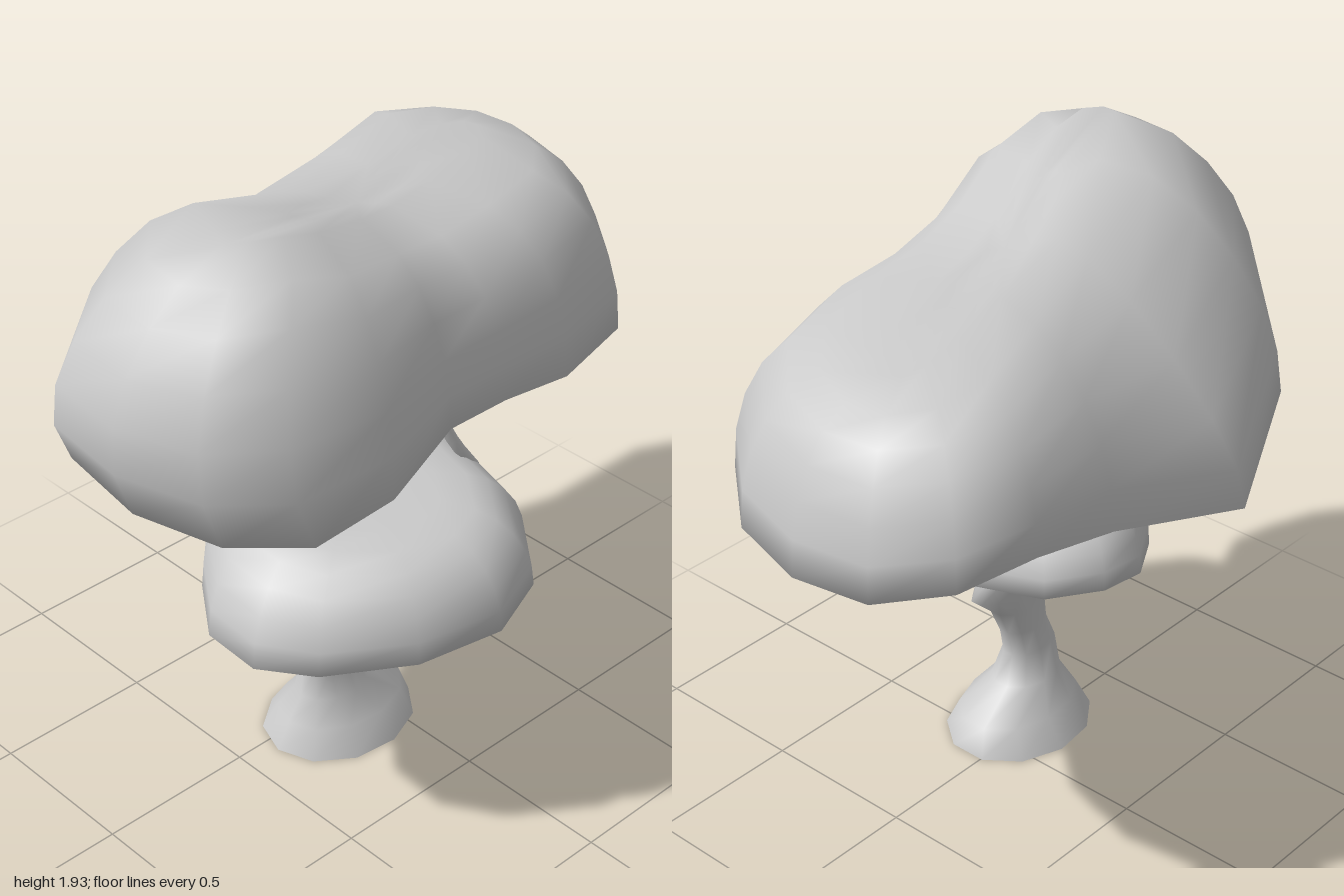
import * as THREE from 'three';
import { mergeVertices } from 'three/addons/utils/BufferGeometryUtils.js';

const material = new THREE.MeshStandardMaterial({ color: 0xcccccc });
const mix = THREE.MathUtils.lerp;

// Height read from a short list of [position, height] pairs
function along(pairs, t) {
  for (let i = 1; i < pairs.length; i++) {
    const [a, ya] = pairs[i - 1], [b, yb] = pairs[i];
    if (t <= b) return mix(ya, yb, Math.max(0, (t - a) / (b - a)));
  }
  return pairs[pairs.length - 1][1];
}

// Smooth skin through closed rings of equal length
function loft(rings) {
  const n = rings[0].length, index = [];
  for (let k = 0; k < rings.length - 1; k++) {
    for (let i = 0; i < n; i++) {
      const a = k * n + i, b = k * n + (i + 1) % n;
      index.push(a, b, b + n, a, b + n, a + n);
    }
  }
  let geometry = new THREE.BufferGeometry();
  geometry.setAttribute('position', new THREE.Float32BufferAttribute(rings.flat(2), 3));
  geometry.setIndex(index);
  geometry = mergeVertices(geometry);
  geometry.computeVertexNormals();
  return geometry;
}

function part(name, geometry) {
  const mesh = new THREE.Mesh(geometry, material);
  mesh.name = name;
  return mesh;
}

// Foliage cap: shallow underside, uneven rim, rounded dome.
// Rim points are [x, y, z, slope]; a higher slope gives a flatter, more slanted side.
function canopy(name, { rim, core, crown, centre, floor, fullness, bulge = 0 }) {
  const [mx, mz] = centre;
  const rings = [0, 0.45, 0.75, 0.93, 1].map((s) =>
    rim.map((p) => floor.map((f, axis) => mix(f, p[axis], s))));
  const steps = 6;
  for (let k = 1; k <= steps; k++) {
    const a = (k / steps) * Math.PI / 2, rise = Math.sin(a);
    rings.push(rim.map(([x, y, z, slope = fullness]) => {
      const [cx, cz] = core(x, z);
      const s = Math.max(0, Math.cos(a)) ** slope;
      const px = mix(cx, x, s), pz = mix(cz, z, s);
      const push = z > 0.65 ? bulge * 4 * rise * (1 - rise) : 0;
      return [px, mix(y, crown(px, pz), rise), pz + push];
    }));
  }
  for (const s of [0.5, 0]) {
    rings.push(rim.map(([x, , z]) => {
      const [cx, cz] = core(x, z);
      const px = mix(mx, cx, s), pz = mix(mz, cz, s);
      return [px, crown(px, pz), pz];
    }));
  }
  return part(name, loft(rings));
}

// Crooked trunk from stacked ellipses: y, x range, z range
function trunk() {
  const levels = [
    [0, -0.16, 0.27, -0.125, 0.39], [0.09, -0.10, 0.22, -0.09, 0.35],
    [0.17, -0.03, 0.16, 0.05, 0.30], [0.27, 0, 0.13, 0.085, 0.29],
    [0.36, 0.005, 0.13, 0.07, 0.25], [0.45, 0, 0.14, 0.03, 0.24],
    [0.53, 0, 0.14, -0.06, 0.245], [0.61, -0.01, 0.145, -0.02, 0.31],
    [0.68, -0.01, 0.15, 0.03, 0.37], [0.76, -0.01, 0.15, 0.05, 0.39],
  ];
  const sides = 11;
  const rings = levels.map(([y, x0, x1, z0, z1]) => Array.from({ length: sides }, (_, i) => {
    const a = (i / sides) * Math.PI * 2;
    return [(x0 + x1) / 2 + Math.sin(a) * (x1 - x0) / 2, y, (z0 + z1) / 2 + Math.cos(a) * (z1 - z0) / 2];
  }));
  const group = new THREE.Group();
  group.name = 'trunk';
  const base = rings[0].map(() => [0.055, 0, 0.14]);
  group.add(part('trunkBody', loft(rings)), part('trunkBase', loft([base, rings[0]])));
  return group;
}

function branch(name, points, radius) {
  const curve = new THREE.CatmullRomCurve3(points.map((p) => new THREE.Vector3(...p)));
  return part(name, new THREE.TubeGeometry(curve, 8, radius, 6));
}

export function createModel() {
  const model = new THREE.Group();
  model.name = 'tree';
  model.add(trunk());

  // Lower foliage layer
  model.add(canopy('lowerCanopy', {
    rim: [
      [0.16, 0.69, 0.73, 1], [0.36, 0.69, 0.74, 1], [0.53, 0.71, 0.65, 0.9], [0.69, 0.72, 0.42], [0.755, 0.735, 0.16],
      [0.69, 0.76, -0.04], [0.5, 0.77, -0.2], [0.2, 0.78, -0.28], [-0.08, 0.79, -0.29], [-0.33, 0.8, -0.2],
      [-0.44, 0.81, -0.06], [-0.46, 0.81, 0.08], [-0.35, 0.78, 0.26], [-0.18, 0.74, 0.44], [-0.01, 0.71, 0.61, 0.9],
    ],
    core: (x, z) => [0.13 + (x - 0.13) * 0.55, 0.2 + (z - 0.2) * 0.45],
    crown: (x) => 1.01 - 0.04 * x,
    centre: [0.13, 0.2],
    floor: [0.13, 0.7, 0.2],
    fullness: 0.75,
  }));

  // Small tilted middle layer tucked under the top
  model.add(canopy('middleCanopy', {
    rim: [
      [-0.03, 1.18, 0.48], [0.12, 1.13, 0.53], [0.25, 1.11, 0.46], [0.31, 1.14, 0.3], [0.32, 1.2, 0.1],
      [0.29, 1.19, -0.1], [0.18, 1.12, -0.27], [0, 1.1, -0.3], [-0.15, 1.04, -0.2], [-0.24, 1.03, -0.05],
      [-0.27, 1.05, 0.1], [-0.2, 1.13, 0.3],
    ],
    core: (x, z) => [0.03 + (x - 0.03) * 0.4, 0.1 + (z - 0.1) * 0.4],
    crown: () => 1.32,
    centre: [0.03, 0.1],
    floor: [0.03, 1.21, 0.1],
    fullness: 0.7,
  }));

  // Large top layer: a ridge highest toward the front, its front half falling off to both sides
  const ridge = [[-1, 1.63], [-0.8, 1.67], [-0.5, 1.71], [0, 1.74], [0.3, 1.84], [0.5, 1.91], [0.62, 1.93], [0.75, 1.88], [0.95, 1.78]];
  model.add(canopy('upperCanopy', {
    rim: [
      [0.13, 1.2, 0.95], [0.4, 1.19, 0.87], [0.58, 1.2, 0.7], [0.645, 1.28, 0.48], [0.53, 1.3, 0.15],
      [0.5, 1.27, -0.1], [0.48, 1.22, -0.38], [0.38, 1.2, -0.72], [0.14, 1.19, -0.92], [-0.14, 1.19, -1],
      [-0.4, 1.21, -0.98], [-0.6, 1.27, -0.86], [-0.69, 1.32, -0.65], [-0.66, 1.22, -0.3, 0.9],
      [-0.76, 1.12, 0.16, 1.4], [-0.55, 1.23, 0.61, 0.95], [-0.17, 1.22, 0.92],
    ],
    core: (x, z) => [0.2 * z + 0.18 * (x - 0.2 * z), z * 0.68],
    crown: (x, z) => along(ridge, z) - 0.45 * (x - 0.2 * z) ** 2 * THREE.MathUtils.smoothstep(z, -0.5, 0.3),
    centre: [0, 0],
    floor: [-0.25, 1.2, 0],
    fullness: 0.65,
    bulge: 0.08,
  }));

  // Thin branches joining the layers
  const twigs = [
    [[-0.02, 0.97, 0.2], [-0.09, 1.0, 0.28], [-0.1, 1.06, 0.33], [-0.05, 1.22, 0.38]],
    [[0.05, 0.97, 0.2], [0.05, 1.05, 0.21], [0.03, 1.24, 0.18]],
    [[0.2, 0.97, 0.06], [0.19, 1.08, 0.07], [0.16, 1.24, 0.11]],
    [[0.26, 0.97, 0.2], [0.24, 1.07, 0.22], [0.21, 1.24, 0.19]],
    [[0.31, 0.92, -0.18], [0.29, 1.03, -0.11], [0.25, 1.24, -0.02]],
  ];
  twigs.forEach((points, i) => model.add(branch('branch' + (i + 1), points, i ? 0.018 : 0.03)));
  model.add(branch('lowerTwig', [[0.04, 0.6, 0.12], [-0.02, 0.65, 0.11], [-0.06, 0.74, 0.1]], 0.018));
  return model;
}
